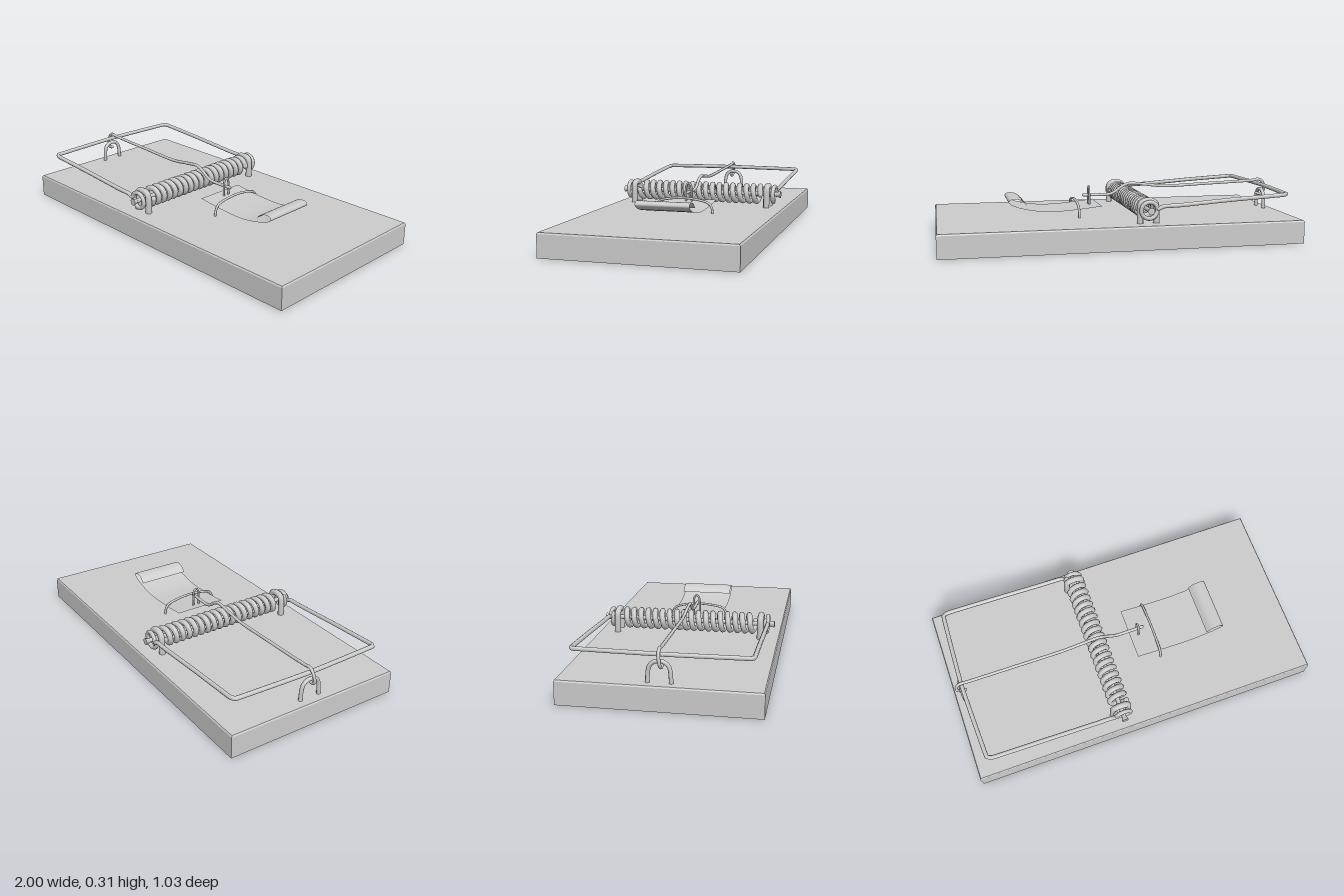
import * as THREE from 'three';

const AXLE = { x: -0.13, y: 0.205 };

export function createModel() {
  const model = new THREE.Group();
  const metal = new THREE.MeshStandardMaterial({ color: 0xcccccc });
  const sheet = new THREE.MeshStandardMaterial({ color: 0xcccccc, side: THREE.DoubleSide });

  const add = (name, geometry, material = metal) => {
    const mesh = new THREE.Mesh(geometry, material);
    mesh.name = name;
    model.add(mesh);
    return mesh;
  };

  // Bent round wire with closed ends
  const wire = (name, points, radius, segments = 64, tension = 0.25) => {
    const pts = points.map((p) => new THREE.Vector3(...p));
    const curve = new THREE.CatmullRomCurve3(pts, false, 'catmullrom', tension);
    add(name, new THREE.TubeGeometry(curve, segments, radius, 8), metal);
    for (const t of [0, 1]) {
      const cap = add(name + 'End', new THREE.SphereGeometry(radius, 8, 6));
      cap.position.copy(curve.getPoint(t));
    }
  };

  // Board with a narrow chamfer round the top
  const board = new THREE.BoxGeometry(2, 0.13, 1.03, 1, 2, 1);
  const bp = board.attributes.position;
  for (let i = 0; i < bp.count; i++) {
    const y = bp.getY(i);
    if (Math.abs(y) < 0.01) bp.setY(i, 0.057);
    else if (y > 0) bp.setXYZ(i, bp.getX(i) * 0.995, y, bp.getZ(i) * 0.99);
  }
  const flatBoard = board.toNonIndexed();
  flatBoard.computeVertexNormals();
  add('board', flatBoard).position.y = 0.065;

  // Axle with flared ends
  const axle = add('axle', new THREE.CylinderGeometry(0.013, 0.013, 0.92, 10));
  axle.rotation.x = Math.PI / 2;
  axle.position.set(AXLE.x, AXLE.y, 0);
  for (const s of [-1, 1]) {
    const tip = add('axleTip', new THREE.CylinderGeometry(0.02, 0.012, 0.03, 10));
    tip.rotation.x = s * Math.PI / 2;
    tip.position.set(AXLE.x, AXLE.y, s * 0.472);
  }

  // Coil spring
  const coil = [];
  const turns = 18, perTurn = 12;
  for (let i = 0; i <= turns * perTurn; i++) {
    const a = (i / perTurn) * Math.PI * 2;
    coil.push([AXLE.x + 0.046 * Math.cos(a), AXLE.y + 0.046 * Math.sin(a), -0.375 + 0.75 * i / (turns * perTurn)]);
  }
  wire('spring', coil, 0.016, turns * 16, 0.5);

  // Staples that hold the axle
  for (const s of [-1, 1]) {
    const z = s * 0.41;
    wire('axleStaple', [
      [-0.178, 0.11, z], [-0.176, 0.22, z], [-0.16, 0.246, z], [-0.13, 0.252, z],
      [-0.1, 0.246, z], [-0.087, 0.22, z], [-0.087, 0.11, z],
    ], 0.018, 32, 0.5);
  }

  // Striking bail: two arms wound round the axle and joined by the far bar
  const armEnd = (s) => {
    const pts = [];
    for (let i = 0; i <= 13; i++) {
      const a = Math.PI * (0.95 - i / 6);
      pts.push([AXLE.x + 0.046 * Math.cos(a), AXLE.y + 0.046 * Math.sin(a), s * (0.452 - 0.001 * i)]);
    }
    return [
      [-0.92, 0.27, s * 0.415], [-0.912, 0.269, s * 0.44], [-0.88, 0.266, s * 0.451],
      [-0.6, 0.25, s * 0.452], [-0.3, 0.229, s * 0.453], [-0.21, 0.226, s * 0.453], ...pts,
    ];
  };
  wire('bail', [...armEnd(-1).reverse(), [-0.935, 0.272, 0], ...armEnd(1)], 0.012, 260);

  // Staple that anchors the holding bar
  wire('barStaple', [
    [-0.945, 0.11, -0.06], [-0.945, 0.2, -0.053], [-0.945, 0.233, -0.03], [-0.945, 0.24, 0],
    [-0.945, 0.233, 0.03], [-0.945, 0.2, 0.053], [-0.945, 0.11, 0.06],
  ], 0.011, 32, 0.5);

  // Holding bar: eye at the staple, hump over the spring, tip at the trigger
  wire('holdingBar', [
    [-0.925, 0.215, 0.012], [-0.95, 0.21, 0.01], [-0.97, 0.235, 0.006], [-0.96, 0.28, 0],
    [-0.93, 0.3, 0], [-0.87, 0.293, 0], [-0.6, 0.283, 0], [-0.35, 0.275, 0], [-0.22, 0.288, 0],
    [-0.13, 0.297, 0], [-0.08, 0.28, 0], [-0.03, 0.246, 0], [0.02, 0.234, 0], [0.15, 0.235, 0],
  ], 0.009, 140, 0.5);

  // Trigger plate: curved sheet with a curled far end
  const plateCurve = new THREE.CatmullRomCurve3([
    [0.07, 0.188], [0.14, 0.18], [0.2, 0.174], [0.3, 0.167], [0.4, 0.167], [0.5, 0.182], [0.57, 0.203],
    [0.597, 0.222], [0.59, 0.238], [0.56, 0.242], [0.525, 0.232], [0.497, 0.205],
  ].map(([x, y]) => new THREE.Vector3(x, y, 0)));
  const plate = new THREE.PlaneGeometry(1, 0.3, 48, 1);
  plate.rotateX(-Math.PI / 2);
  const pp = plate.attributes.position;
  for (let i = 0; i < pp.count; i++) {
    const p = plateCurve.getPoint(THREE.MathUtils.clamp(pp.getX(i) + 0.5, 0, 1));
    pp.setXYZ(i, p.x, p.y, pp.getZ(i));
  }
  plate.computeVertexNormals();
  add('triggerPlate', plate, sheet);

  // Upright catch that takes the tip of the bar
  wire('triggerCatch', [
    [0.12, 0.165, -0.018], [0.12, 0.25, -0.018], [0.12, 0.28, -0.01], [0.12, 0.286, 0],
    [0.12, 0.28, 0.01], [0.12, 0.25, 0.018], [0.12, 0.165, 0.018],
  ], 0.006, 32, 0.5);

  // Hinge staple over the trigger plate
  wire('plateStaple', [
    [0.204, 0.11, -0.165], [0.204, 0.165, -0.158], [0.204, 0.195, -0.12], [0.204, 0.212, 0],
    [0.204, 0.2, 0.12], [0.204, 0.175, 0.16], [0.204, 0.11, 0.175],
  ], 0.007, 40, 0.5);

  return model;
}
